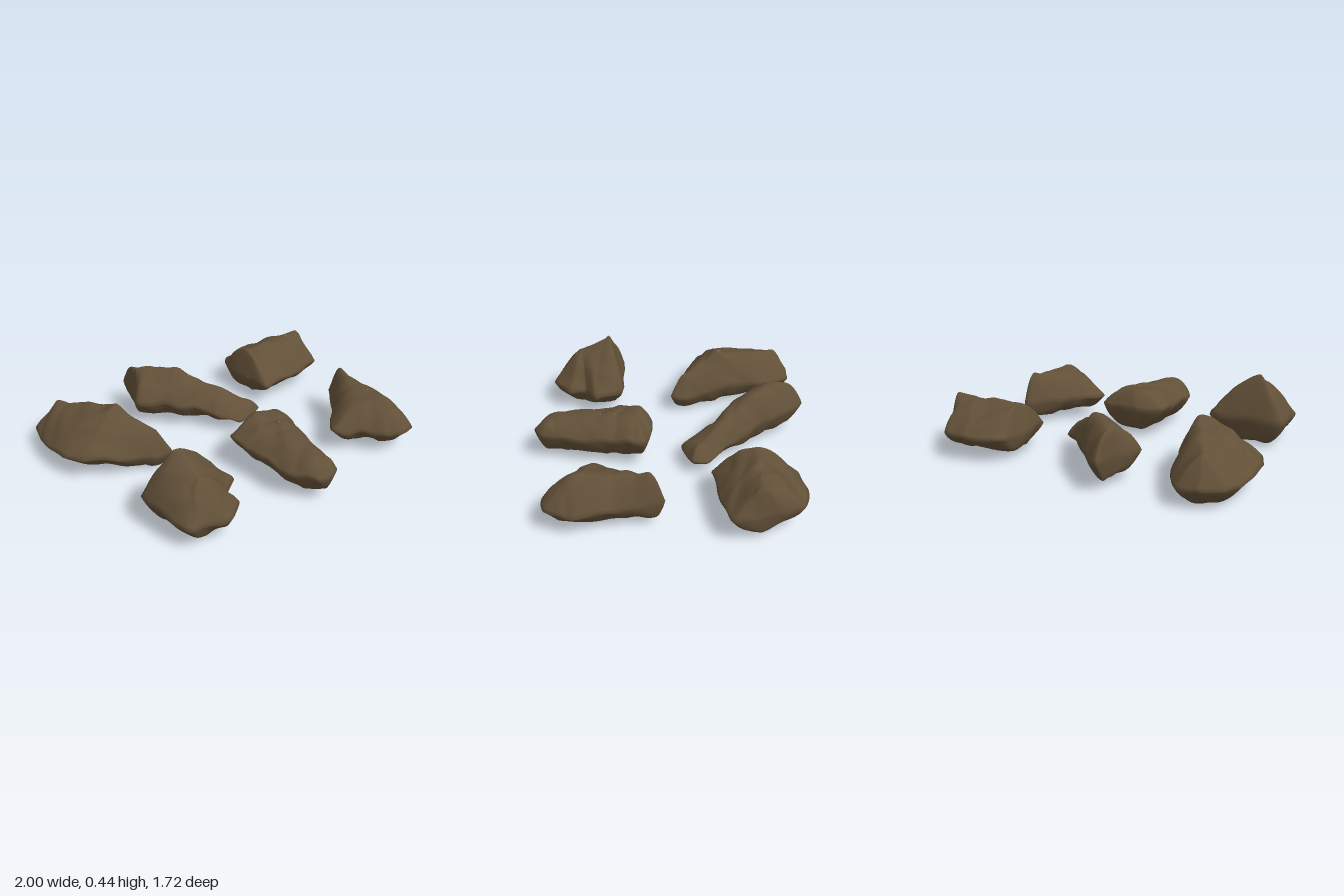
import * as THREE from 'three';

const AROUND = 160, RINGS = 16;

// Nearest point on the crest line, measured in plan
function nearestOnCrest(crest, p) {
  let best, bestD = Infinity;
  for (let i = 0; i + 1 < crest.length; i++) {
    const a = new THREE.Vector3(...crest[i]), b = new THREE.Vector3(...crest[i + 1]);
    const dx = b.x - a.x, dz = b.z - a.z;
    const t = THREE.MathUtils.clamp(((p.x - a.x) * dx + (p.z - a.z) * dz) / (dx * dx + dz * dz), 0, 1);
    const q = a.lerp(b, t), d = Math.hypot(q.x - p.x, q.z - p.z);
    if (d < bestD) { bestD = d; best = q; }
  }
  return best;
}

// Weathered lumps and dents
function weather(p) {
  const { x, y, z } = p;
  const a = Math.sin(11 * x + 7 * y + 3 * Math.sin(9 * z)), b = Math.sin(13 * z - 9 * y + 2 * Math.sin(12 * x));
  const c = Math.sin(25 * x + 19 * z + 14 * y);
  p.x += 0.006 * b + 0.003 * c;
  p.z += 0.006 * a - 0.003 * c;
  p.y = Math.max(0, y + 0.008 * (Math.abs(a) - Math.abs(b)) + 0.004 * c);
  return p;
}

// Rock from a plan outline [x, z] and a crest line [x, y, z].
// The widest rim lies at a fraction of the crest height; base is the underside height.
function rockGeometry(outline, crest, rim, base, round) {
  const corners = outline.map(([x, z]) => new THREE.Vector3(x, 0, z));
  const curve = new THREE.CatmullRomCurve3(corners, true, 'catmullrom', 0.25);
  const edge = curve.getSpacedPoints(AROUND).slice(0, AROUND);
  const tops = edge.map((p) => nearestOnCrest(crest, p));
  const pos = [], index = [];
  // Rings run from the underside out to the rim, then up to the crest
  for (let k = -RINGS; k <= RINGS; k++) {
    const t = Math.abs(k) / RINGS;
    edge.forEach((e, i) => {
      const p = e.clone().lerp(tops[i], t), rimY = tops[i].y * rim;
      p.y = k < 0
        ? rimY + (base - rimY) * (1 - (1 - t) ** 2.8)
        : rimY + (tops[i].y - rimY) * (1 - (1 - t) ** round);
      pos.push(...weather(p).toArray());
    });
  }
  for (let k = 0; k < 2 * RINGS; k++) {
    for (let i = 0; i < AROUND; i++) {
      const j = (i + 1) % AROUND;
      const a = k * AROUND + i, b = k * AROUND + j, c = b + AROUND, d = a + AROUND;
      index.push(a, d, b, b, d, c);
    }
  }
  const g = new THREE.BufferGeometry();
  g.setAttribute('position', new THREE.Float32BufferAttribute(pos, 3));
  g.setIndex(index);
  g.computeVertexNormals();
  return g;
}

export function createModel() {
  const group = new THREE.Group();
  group.name = 'rocks';
  const stone = new THREE.MeshStandardMaterial({ color: 0x625038 });
  stone.name = 'brown stone';

  const addRock = (name, outline, crest, { rim = 0.47, base = 0.045, round = 1.7 } = {}) => {
    const mesh = new THREE.Mesh(rockGeometry(outline, crest, rim, base, round), stone);
    mesh.name = name;
    group.add(mesh);
  };

  // Long ridged rock
  addRock('backLeftRock',
    [[-0.92, -0.81], [-0.78, -0.87], [-0.65, -0.85], [-0.57, -0.7], [-0.49, -0.33], [-0.43, -0.13], [-0.46, -0.03],
      [-0.66, -0.1], [-0.92, -0.25], [-1, -0.38], [-0.97, -0.62]],
    [[-0.77, 0.27, -0.74], [-0.617, 0.36, -0.36], [-0.52, 0.25, -0.12]], { rim: 0.42, base: 0.015 });

  // Slanting rock, low at its front end
  addRock('backMiddleRock',
    [[-0.2, -0.86], [-0.12, -0.79], [0, -0.62], [0.19, -0.33], [0.31, -0.2], [0.31, -0.09], [0.1, -0.05],
      [-0.02, -0.23], [-0.2, -0.42], [-0.33, -0.54], [-0.25, -0.7]],
    [[-0.2, 0.34, -0.7], [-0.047, 0.35, -0.5], [0.22, 0.17, -0.15]], { rim: 0.52, round: 2 });

  // Broad wedge
  addRock('backRightRock',
    [[0.49, -0.62], [0.58, -0.69], [0.74, -0.7], [0.9, -0.65], [0.99, -0.4], [0.98, -0.23], [0.48, -0.19]],
    [[0.53, 0.32, -0.42], [0.95, 0.33, -0.41]], { round: 1.5 });

  // Rounded tapering block
  addRock('frontMiddleRock',
    [[-0.19, 0.25], [-0.16, 0.17], [0, 0.13], [0.24, 0.18], [0.2, 0.4], [0.13, 0.63], [0.08, 0.82], [0, 0.86],
      [-0.09, 0.82], [-0.17, 0.65]],
    [[0.07, 0.31, 0.24], [-0.01, 0.27, 0.72]], { rim: 0.65, round: 2.2 });

  // Tall peaked rock
  addRock('frontLeftRock',
    [[-0.91, 0.28], [-0.8, 0.26], [-0.44, 0.3], [-0.41, 0.47], [-0.51, 0.54], [-0.53, 0.65], [-0.67, 0.74],
      [-0.88, 0.68], [-0.93, 0.55]],
    [[-0.74, 0.44, 0.37], [-0.72, 0.36, 0.55]], { rim: 0.4, base: 0.015, round: 1.5 });

  // Pointed three-cornered rock
  addRock('frontRightRock',
    [[0.75, 0.12], [0.8, 0.12], [0.84, 0.35], [0.9, 0.6], [0.8, 0.78], [0.67, 0.79], [0.47, 0.58], [0.38, 0.48],
      [0.6, 0.29]],
    [[0.76, 0.335, 0.2], [0.7, 0.31, 0.59]], { round: 1.8 });

  return group;
}
